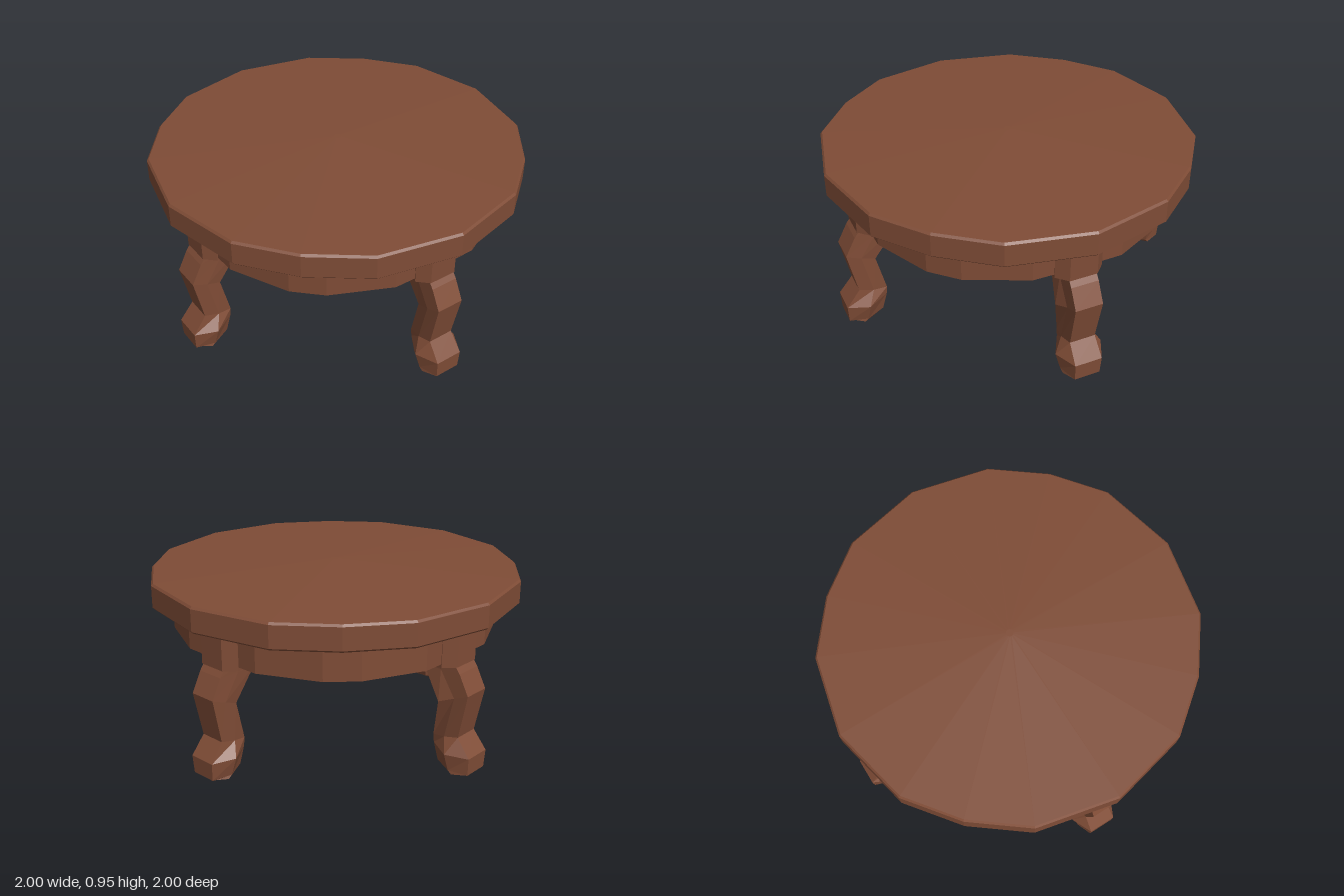
import * as THREE from 'three';

const wood = new THREE.MeshStandardMaterial({ color: 0x7f4c36 });
wood.name = 'brown wood';

// Skins a stack of equal-length rings (bottom to top, counter-clockwise from above) and caps both ends.
function loft(name, rings) {
  const pos = [];
  const tri = (a, b, c) => pos.push(...a, ...b, ...c);
  const n = rings[0].length;
  const centre = (ring) => [0, 1, 2].map((k) => ring.reduce((s, p) => s + p[k], 0) / n);
  const first = rings[0], last = rings[rings.length - 1];
  const low = centre(first), high = centre(last);
  for (let i = 0; i < n; i++) {
    const j = (i + 1) % n;
    for (let r = 0; r < rings.length - 1; r++) {
      const a = rings[r], b = rings[r + 1];
      tri(a[i], a[j], b[j]);
      tri(a[i], b[j], b[i]);
    }
    tri(low, first[j], first[i]);
    tri(high, last[i], last[j]);
  }
  const geo = new THREE.BufferGeometry();
  geo.setAttribute('position', new THREE.Float32BufferAttribute(pos, 3));
  geo.computeVertexNormals();
  const mesh = new THREE.Mesh(geo, wood);
  mesh.name = name;
  return mesh;
}

// Ring from one quarter of [angle in degrees, radius], repeated four times.
function quarterRing(quarter, y, scale = 1) {
  const ring = [];
  for (let q = 0; q < 4; q++) {
    for (const [deg, r] of quarter) {
      const a = THREE.MathUtils.degToRad(deg + q * 90);
      ring.push([Math.cos(a) * r * scale, y, -Math.sin(a) * r * scale]);
    }
  }
  return ring;
}

// Leg sections along +x: outer x, outer y, inner x, inner y, then half widths outside, middle and inside.
const LEG = [
  [0.95, 0.005, 0.84, 0.005, 0.06, 0.10, 0.05],
  [0.975, 0.015, 0.78, 0.035, 0.07, 0.105, 0.06],
  [0.98, 0.11, 0.755, 0.13, 0.075, 0.13, 0.065],
  [0.905, 0.205, 0.75, 0.175, 0.07, 0.08, 0.065],
  [0.955, 0.445, 0.80, 0.385, 0.075, 0.08, 0.07],
  [0.90, 0.55, 0.68, 0.55, 0.075, 0.08, 0.075],
  [0.87, 0.59, 0.70, 0.59, 0.075, 0.08, 0.075],
];

function legRing([xo, yo, xi, yi, wo, wm, wi], spur) {
  const xm = (xo + xi) / 2, ym = (yo + yi) / 2;
  return [
    [xo, yo, wo], [xo, yo, -wo], [xm, ym, -wm],
    [xi, yi, -wi - spur], [xi, yi, wi], [xm, ym, wm],
  ];
}

export function createModel() {
  const table = new THREE.Group();
  table.name = 'roundTable';

  // Faceted top with a thin bevel and a shallow rise to the middle
  const rim = [[0, 1], [25.3, 1], [44.7, 0.985], [64.7, 1]];
  table.add(loft('tableTop', [
    quarterRing(rim, 0.787, 0.99),
    quarterRing(rim, 0.797),
    quarterRing(rim, 0.912),
    quarterRing(rim, 0.923, 0.99),
    quarterRing(rim, 0.955, 0.02),
  ]));

  // Apron under the top, with a flat panel on each diagonal
  const apron = [[0, 0.83], [16.5, 0.86], [39, 0.875], [51, 0.875], [73.5, 0.86]];
  table.add(loft('apron', [quarterRing(apron, 0.6), quarterRing(apron, 0.79)]));

  // Four legs, each with a bevelled block at its head
  const block = [[0.885, 0.075], [0.885, -0.075], [0.83, -0.13], [0.70, -0.11], [0.70, 0.11], [0.83, 0.13]];
  const names = ['leftLeg', 'backLeg', 'rightLeg', 'frontLeg'];
  names.forEach((name, i) => {
    const leg = new THREE.Group();
    leg.name = name;
    // The back and right legs have a small spur behind the knee
    const spurred = i === 1 || i === 2;
    leg.add(loft('carvedLeg', LEG.map((s, k) => legRing(s, spurred && k === 4 ? -0.035 : 0))));
    leg.add(loft('legBlock', [0.582, 0.79].map((y) => block.map(([x, z]) => [x, y, z]))));
    if (spurred) {
      leg.children[0].geometry.dispose();
      leg.children[0].geometry = loft('', LEG.map((s, k) => {
        const ring = legRing(s, 0);
        if (k === 4) ring[4][2] += 0.035;
        return ring;
      })).geometry;
    }
    leg.rotation.y = i * Math.PI / 2;
    table.add(leg);
  });
  return table;
}
